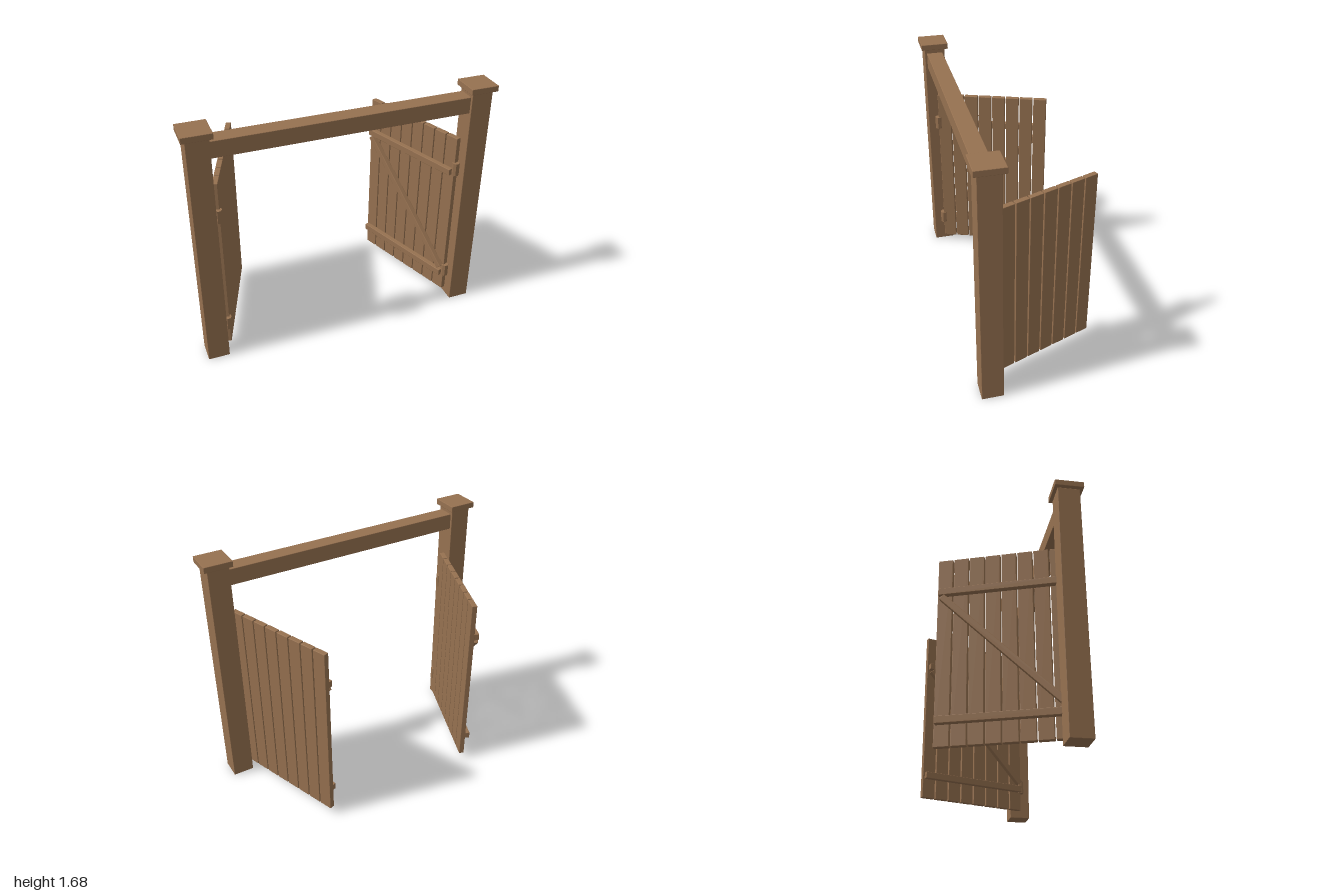
import * as THREE from 'three';
import { RoundedBoxGeometry } from 'three/addons/geometries/RoundedBoxGeometry.js';

export function createModel() {
  const model = new THREE.Group();
  model.name = 'gateway';
  const wood = new THREE.MeshStandardMaterial({ color: 0x967150 });
  wood.name = 'brownWood';

  // Timber with narrow chamfered edges
  function timber(parent, name, size, pos, bevel = 0.003) {
    const geometry = new RoundedBoxGeometry(...size, 1, bevel);
    geometry.computeVertexNormals();
    const mesh = new THREE.Mesh(geometry, wood);
    mesh.name = name;
    mesh.position.set(...pos);
    parent.add(mesh);
    return mesh;
  }

  const axisZ = 0.337;

  // Beam between the posts
  timber(model, 'beam', [1.67, 0.11, 0.11], [0, 1.56, axisZ]);

  // Gate leaf: hinged at its origin, running along +x, bracing on the -z face
  function gateLeaf(name) {
    const leaf = new THREE.Group();
    leaf.name = name;
    const count = 8, length = 0.81, pitch = length / count;
    for (let i = 0; i < count; i++) {
      timber(leaf, 'board', [pitch - 0.008, 1.25, 0.035], [(i + 0.5) * pitch, 0.675, 0]);
    }
    for (const y of [0.205, 1.053]) {
      timber(leaf, 'batten', [length - 0.03, 0.046, 0.036], [length / 2, y, -0.0355]);
    }
    // Diagonal from the lower hinge corner to the upper free corner
    const a = new THREE.Vector2(0.025, 0.25), b = new THREE.Vector2(0.775, 1.02);
    const brace = timber(leaf, 'brace', [a.distanceTo(b), 0.042, 0.036],
      [(a.x + b.x) / 2, (a.y + b.y) / 2, -0.0355]);
    brace.rotation.z = Math.atan2(b.y - a.y, b.x - a.x);
    return leaf;
  }

  for (const side of [-1, 1]) {
    const label = side > 0 ? 'left' : 'right';

    // Post and its cap
    timber(model, label + 'Post', [0.143, 1.645, 0.143], [side * 0.904, 0.8225, axisZ]);
    timber(model, label + 'PostCap', [0.187, 0.04, 0.187], [side * 0.9065, 1.665, axisZ]);

    // Hinge barrels
    for (const y of [0.225, 1.075]) {
      const geometry = new THREE.CylinderGeometry(0.026, 0.026, 0.09, 8).toNonIndexed();
      geometry.computeVertexNormals();
      const hinge = new THREE.Mesh(geometry, wood);
      hinge.name = label + 'Hinge';
      hinge.position.set(side * 0.81, y, axisZ);
      hinge.rotation.y = Math.PI / 8;
      model.add(hinge);
    }

    // Leaf swung open towards the back
    const leaf = gateLeaf(label + 'GateLeaf');
    leaf.position.set(side * 0.817, 0, axisZ);
    leaf.rotation.y = THREE.MathUtils.degToRad(90 + side * 20);
    model.add(leaf);
  }

  return model;
}
